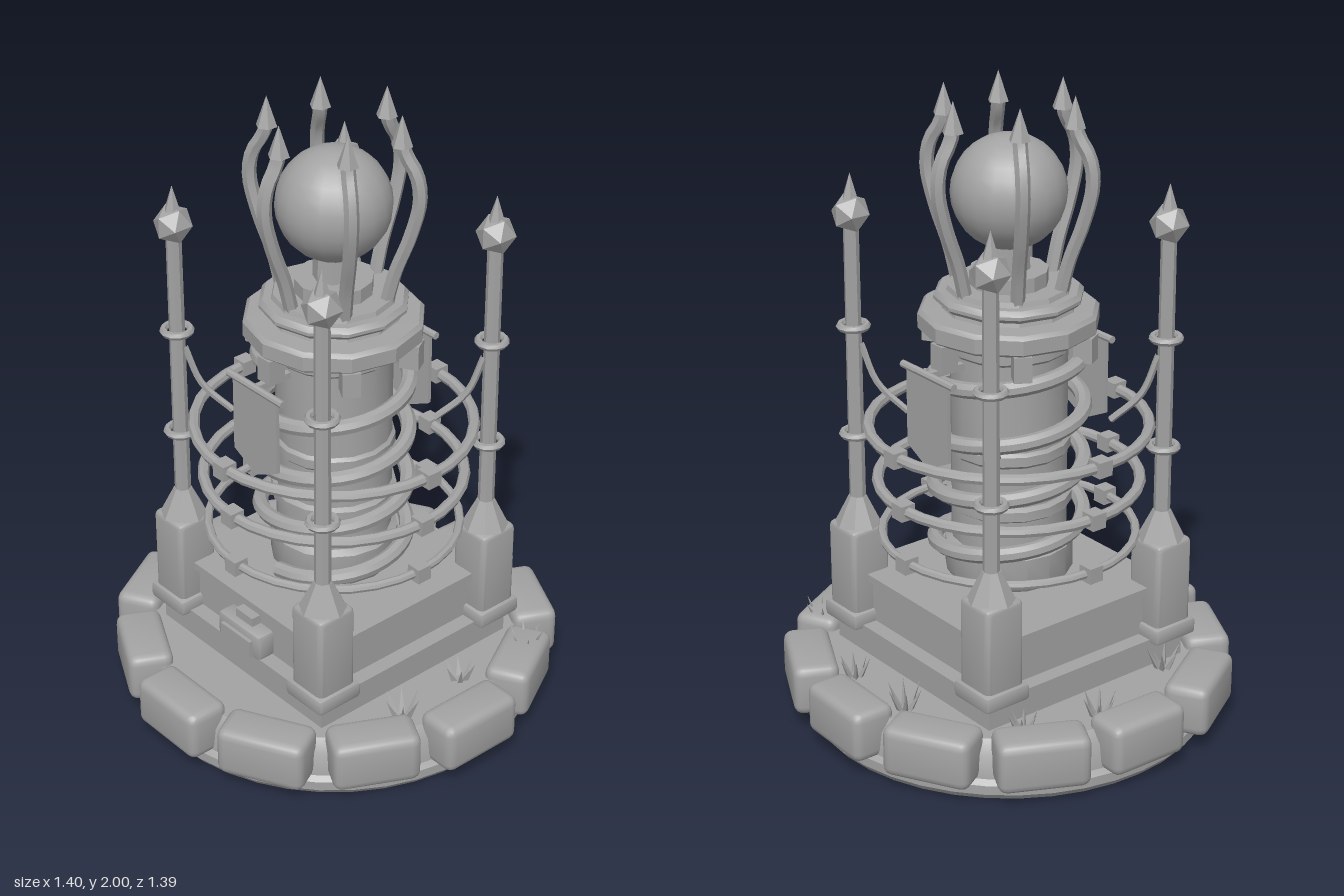
import * as THREE from 'three';
import { toCreasedNormals } from 'three/addons/utils/BufferGeometryUtils.js';
import { RoundedBoxGeometry } from 'three/addons/geometries/RoundedBoxGeometry.js';

const stone = new THREE.MeshStandardMaterial({ color: 0xa3a3a3 });
stone.name = 'grey stone';

const V = (x, y, z) => new THREE.Vector3(x, y, z);

// Adds a named mesh with sharp edges kept above the crease angle.
function add(parent, name, geometry, x = 0, y = 0, z = 0, crease = 0.6) {
  const mesh = new THREE.Mesh(toCreasedNormals(geometry, crease), stone);
  mesh.name = name;
  mesh.position.set(x, y, z);
  parent.add(mesh);
  return mesh;
}

const box = (w, h, d) => new THREE.BoxGeometry(w, h, d);
const cyl = (rTop, rBottom, h, sides) => new THREE.CylinderGeometry(rTop, rBottom, h, sides);
const lathe = (points, sides) => new THREE.LatheGeometry(points.map(p => new THREE.Vector2(...p)), sides);
const tube = (points, r, steps, sides) =>
  new THREE.TubeGeometry(new THREE.CatmullRomCurve3(points), steps, r, sides, false);

// Calls build(group, index) for n groups turned evenly about the y axis.
function radial(parent, name, n, build) {
  for (let i = 0; i < n; i++) {
    const g = new THREE.Group();
    g.name = name;
    g.rotation.y = (i / n) * Math.PI * 2;
    parent.add(g);
    build(g, i);
  }
}

function buildBase(root) {
  add(root, 'baseDisc', lathe([[0, 0], [0.63, 0], [0.645, 0.02], [0.645, 0.05], [0.63, 0.065],
    [0.62, 0.14], [0.59, 0.18], [0, 0.18]], 40));

  // Rim stones, each nudged a little
  radial(root, 'rimStone', 12, (g, i) => {
    const wobble = Math.sin(i * 2.7);
    const rock = add(g, 'rimStoneBlock', new RoundedBoxGeometry(0.28 + wobble * 0.008, 0.165, 0.145, 2, 0.03),
      0, 0.138, 0.622 + wobble * 0.008);
    rock.rotation.y = Math.sin(i * 4.1) * 0.05;
  });

  // Stepped square plinth
  add(root, 'plinthStep', box(0.77, 0.1, 0.77), 0, 0.22, 0);
  add(root, 'plinthBody', box(0.67, 0.15, 0.67), 0, 0.335, 0);
  add(root, 'plinthCap', box(0.71, 0.025, 0.71), 0, 0.422, 0);

  // Front lock box
  add(root, 'lockBox', new RoundedBoxGeometry(0.2, 0.09, 0.07, 1, 0.012), 0, 0.315, 0.36);
  add(root, 'lockPanel', box(0.14, 0.06, 0.02), 0, 0.305, 0.397);
  add(root, 'lockKnob', box(0.08, 0.03, 0.04), 0, 0.375, 0.35);

  // Grass tufts
  const tufts = [[0.14, -0.5], [-0.12, -0.5], [0.5, -0.37], [0.48, -0.1],
    [0.5, 0.16], [-0.52, -0.07], [-0.44, -0.3], [-0.42, 0.28]];
  tufts.forEach(([x, z], t) => {
    const tuft = new THREE.Group();
    tuft.name = 'grassTuft';
    tuft.position.set(x, 0.17, z);
    root.add(tuft);
    for (let i = 0; i < 6; i++) {
      const h = 0.07 + 0.03 * Math.abs(Math.sin(i * 3.3 + t));
      const blade = add(tuft, 'grassBlade', new THREE.ConeGeometry(0.012, h, 3).translate(0, h / 2, 0));
      const a = i * 1.05 + t;
      blade.position.set(Math.sin(a) * 0.015, 0, Math.cos(a) * 0.015);
      blade.rotation.set(Math.cos(a) * 0.45, 0, -Math.sin(a) * 0.45);
    }
  });
}

function buildPillar(root, sx, sz) {
  const p = new THREE.Group();
  p.name = 'cornerPillar';
  p.position.set(sx * 0.335, 0, sz * 0.335);
  root.add(p);
  add(p, 'pillarFoot', new RoundedBoxGeometry(0.165, 0.055, 0.165, 1, 0.012), 0, 0.282, 0);
  add(p, 'pillarBody', new RoundedBoxGeometry(0.14, 0.32, 0.14, 2, 0.02), 0, 0.43, 0);
  add(p, 'pillarCap', cyl(0.028, 0.075, 0.095, 8), 0, 0.632, 0, 0.3);
  add(p, 'pole', cyl(0.024, 0.026, 0.97, 8), 0, 1.1, 0, 0.3);
  for (const y of [0.89, 1.245]) add(p, 'poleCollar', new THREE.TorusGeometry(0.042, 0.012, 6, 12).rotateX(Math.PI / 2), 0, y, 0);
  add(p, 'finialGem', new THREE.IcosahedronGeometry(0.062, 0), 0, 1.605, 0, 0.1);
  add(p, 'finialSpike', new THREE.ConeGeometry(0.028, 0.09, 6), 0, 1.685, 0, 0.1);

  // Sagging cable from pole to coil
  add(root, 'cable', tube([V(sx * 0.32, 1.19, sz * 0.32), V(sx * 0.285, 1.06, sz * 0.285),
    V(sx * 0.22, 0.97, sz * 0.22)], 0.011, 10, 6));
}

function buildCore(root) {
  add(root, 'coreColumn', lathe([[0, 0.46], [0.19, 0.46], [0.2, 0.475], [0.2, 0.57], [0.18, 0.585],
    [0.18, 0.69], [0.195, 0.7], [0.195, 0.73], [0.18, 0.74], [0.18, 0.87], [0.19, 0.88], [0.19, 0.91],
    [0.18, 0.92], [0.18, 1.2], [0.19, 1.21], [0.19, 1.28], [0, 1.28]], 16));

  // Spiral coil, rising from front towards +x
  const coil = [];
  for (let i = 0; i <= 64; i++) {
    const a = (i / 64) * Math.PI * 8;
    coil.push(V(Math.sin(a) * 0.23, 0.495 + 0.72 * (i / 64), Math.cos(a) * 0.23));
  }
  add(root, 'spiralCoil', tube(coil, 0.025, 160, 8));

  // Floating hoops with four studs each
  for (const [y, r, t] of [[0.59, 0.395, 0.014], [0.77, 0.405, 0.018], [0.95, 0.43, 0.018]]) {
    add(root, 'hoop', new THREE.TorusGeometry(r, t, 8, 32).rotateX(Math.PI / 2), 0, y, 0);
    radial(root, 'hoopStud', 4, g => add(g, 'hoopStudBlock', box(0.05, 0.05, 0.05), 0, y, r));
  }

  // Hanging banners front and back
  const cloth = new THREE.Shape([[-0.1, 1.18], [-0.1, 0.93], [0, 0.88], [0.1, 0.93], [0.1, 1.18]]
    .map(p => new THREE.Vector2(...p)));
  radial(root, 'banner', 2, g => {
    add(g, 'bannerCloth', new THREE.ExtrudeGeometry(cloth, { depth: 0.012, bevelEnabled: false }), 0, 0, 0.3);
    add(g, 'bannerRod', cyl(0.012, 0.012, 0.25, 8).rotateZ(Math.PI / 2), 0, 1.18, 0.306);
    add(g, 'bannerArm', box(0.02, 0.02, 0.14), 0, 1.18, 0.24);
  });
}

function buildCrown(root) {
  add(root, 'crownCollar', lathe([[0, 1.265], [0.265, 1.265], [0.277, 1.275], [0.277, 1.32],
    [0.265, 1.332], [0.205, 1.335], [0.2, 1.352], [0.215, 1.352], [0.228, 1.365], [0.228, 1.375],
    [0.215, 1.39], [0.19, 1.39], [0.185, 1.405], [0.12, 1.405], [0.12, 1.45], [0, 1.45]], 12), 0, 0, 0, 0.4);
  add(root, 'orbStem', cyl(0.06, 0.065, 0.14, 8), 0, 1.5, 0, 0.3);
  add(root, 'orb', new THREE.SphereGeometry(0.175, 20, 14), 0, 1.69, 0);

  const path = [V(0, 1.39, 0.165), V(0, 1.5, 0.192), V(0, 1.62, 0.235), V(0, 1.74, 0.262),
    V(0, 1.82, 0.25), V(0, 1.88, 0.215), V(0, 1.92, 0.205)];
  radial(root, 'crownProng', 6, g => {
    add(g, 'prongArm', tube(path, 0.022, 18, 6), 0, 0, 0, 0.5);
    add(g, 'prongTip', new THREE.ConeGeometry(0.033, 0.095, 6), 0, 1.9525, 0.205, 0.3);
    add(g, 'collarBracket', box(0.055, 0.08, 0.06), 0, 1.228, 0.245);
  });
}

export function createModel() {
  const root = new THREE.Group();
  root.name = 'orbTower';
  buildBase(root);
  for (const sx of [-1, 1]) for (const sz of [-1, 1]) buildPillar(root, sx, sz);
  buildCore(root);
  buildCrown(root);
  return root;
}
